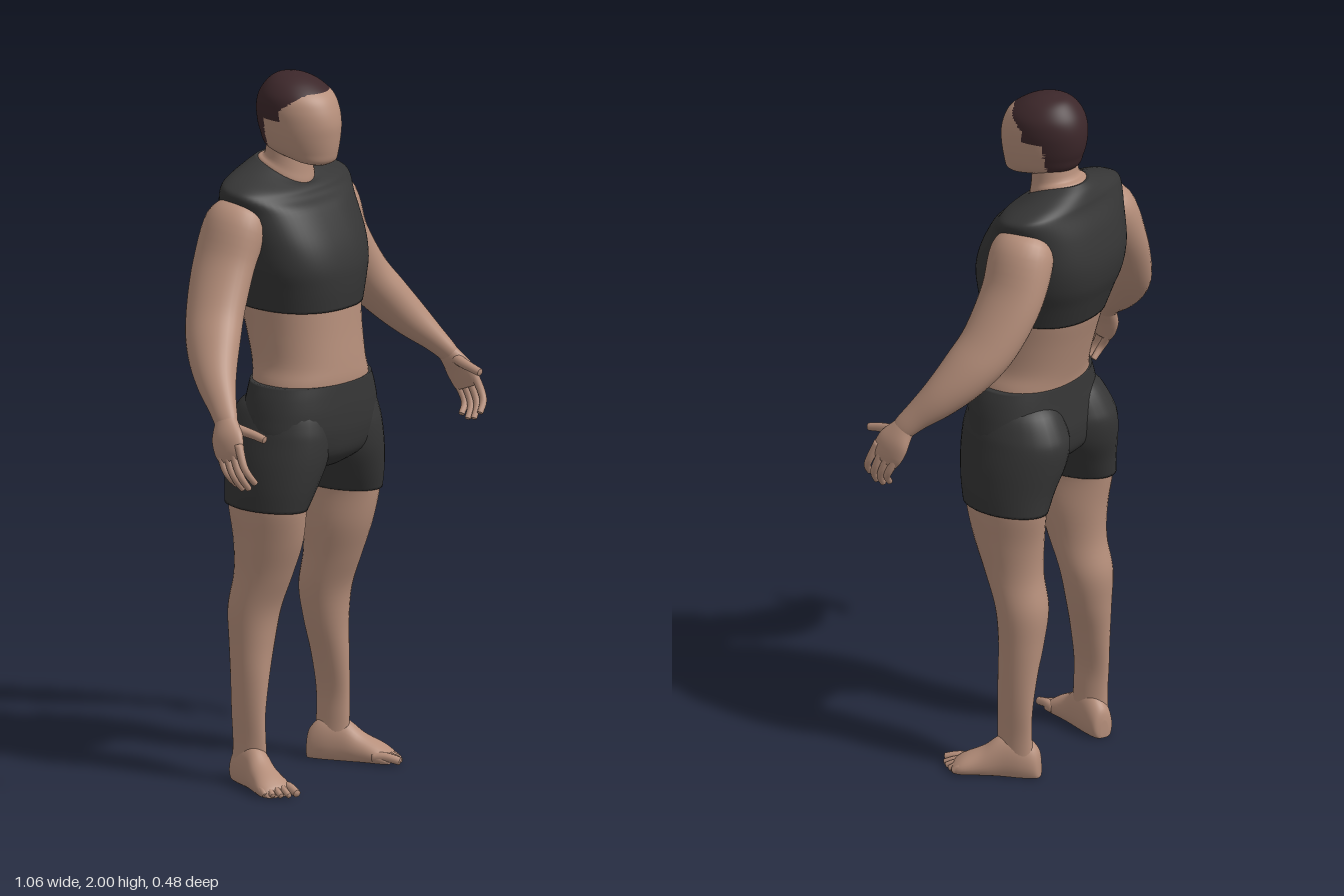
import * as THREE from 'three';

const mat = (name, color) => Object.assign(new THREE.MeshStandardMaterial({ color }), { name });

// Smooth interpolation of one number through four neighbours
const spline = (a, b, c, d, t) => b + 0.5 * t * (c - a + t * (2 * a - 5 * b + 4 * c - d + t * (3 * (b - c) + d - a)));

// Closed skin through cross-sections of equal length; place() turns a section and an angle into a point
function loft(sections, place, mirror = 1, sides = 32, steps = 5) {
  const rows = [], last = sections.length - 1;
  const at = i => sections[Math.min(last, Math.max(0, i))];
  for (let i = 0; i <= last * steps; i++) {
    const k = Math.min(last - 1, Math.floor(i / steps)), t = i / steps - k;
    rows.push(at(k).map((_, p) => spline(at(k - 1)[p], at(k)[p], at(k + 1)[p], at(k + 2)[p], t)));
  }
  const pos = [], index = [];
  rows.forEach((row, i) => {
    const a = rows[Math.max(0, i - 1)], b = rows[Math.min(rows.length - 1, i + 1)];
    const tangent = new THREE.Vector3(b[0] - a[0], b[1] - a[1], b[2] - a[2]).normalize();
    for (let j = 0; j < sides; j++) {
      const angle = j / sides * Math.PI * 2;
      const p = place(row, Math.cos(angle), Math.sin(angle), tangent);
      pos.push(p.x * mirror, p.y, p.z);
    }
  });
  // end caps
  const ends = [0, rows.length - 1].map(r => {
    const c = [0, 0, 0];
    for (let j = 0; j < sides; j++) for (let q = 0; q < 3; q++) c[q] += pos[(r * sides + j) * 3 + q] / sides;
    pos.push(...c);
    return pos.length / 3 - 1;
  });
  for (let j = 0; j < sides; j++) {
    const n = (j + 1) % sides, top = (rows.length - 1) * sides;
    for (let i = 0; i < rows.length - 1; i++) {
      const a = i * sides + j, b = i * sides + n, c = a + sides, d = b + sides;
      index.push(a, c, b, b, c, d);
    }
    index.push(ends[0], j, n, ends[1], top + n, top + j);
  }
  // turn the faces outward
  const v = i => new THREE.Vector3().fromArray(pos, i * 3);
  let volume = 0;
  for (let i = 0; i < index.length; i += 3) volume += v(index[i]).dot(v(index[i + 1]).cross(v(index[i + 2])));
  if (volume < 0) index.reverse();
  const geo = new THREE.BufferGeometry();
  geo.setAttribute('position', new THREE.Float32BufferAttribute(pos, 3));
  geo.setIndex(index);
  geo.computeVertexNormals();
  return geo;
}

// Horizontal section: [y, centre x, half width, front z, back z, front drop, squareness]
const level = ([y, cx, hx, zf, zb, drop = 0, n = 2], c, s) => {
  const soft = v => Math.sign(v) * Math.pow(Math.abs(v), 2 / n);
  return new THREE.Vector3(cx + hx * soft(c), y - drop * ((1 + s) / 2) ** 2, (zf + zb) / 2 + (zf - zb) / 2 * soft(s));
};

// Section square to a path: [x, y, z, half width, half depth]
const along = ([x, y, z, w, d], c, s, tangent) => {
  const ref = Math.abs(tangent.z) > 0.8 ? new THREE.Vector3(0, 1, 0) : new THREE.Vector3(0, 0, 1);
  const wide = new THREE.Vector3().crossVectors(tangent, ref).normalize();
  const deep = new THREE.Vector3().crossVectors(wide, tangent);
  return new THREE.Vector3(x, y, z).addScaledVector(wide, c * w).addScaledVector(deep, s * d);
};

// Foot frame: origin under the ankle, toes turned outward
const turnFoot = p => p.applyAxisAngle(new THREE.Vector3(0, 1, 0), 0.38).add(new THREE.Vector3(0.18, 0, -0.06));
// Foot section with a flat underside: [z, centre x, half width, top y]
const sole = ([z, cx, w, top], c, s) => {
  const y = top * (0.35 + (s > 0 ? 0.65 * s : 0.35 * Math.max(-1, s * 1.6)));
  return turnFoot(new THREE.Vector3(cx + w * c, y, z));
};

// Finger or toe with a rounded tip: points [x, y, z] and radius
const digit = (points, r) => {
  const rows = points.map((p, i) => [...p, r * (1 - 0.1 * i), r * (1 - 0.1 * i)]);
  const [e, f] = points.slice(-2), tip = k => f.map((q, i) => q + (q - e[i]) * k);
  rows.push([...tip(0.12), r * 0.6, r * 0.6], [...tip(0.18), r * 0.15, r * 0.15]);
  return rows;
};

export function createModel() {
  const model = new THREE.Group();
  const skin = mat('skin', 0xb68f7b), cloth = mat('charcoal cloth', 0x353535), hair = mat('dark hair', 0x3c272a);
  const add = (name, geo, material, parent = model) => {
    const mesh = new THREE.Mesh(geo, material);
    mesh.name = name;
    parent.add(mesh);
  };

  // Head, with the hair as a second material above the hairline
  const head = loft([
    [1.752, 0, 0.025, 0.065, 0.01], [1.764, 0, 0.058, 0.086, -0.03], [1.79, 0, 0.08, 0.094, -0.125],
    [1.83, 0, 0.092, 0.099, -0.148], [1.87, 0, 0.098, 0.1, -0.158], [1.91, 0, 0.1, 0.09, -0.158],
    [1.945, 0, 0.093, 0.07, -0.147], [1.975, 0, 0.07, 0.03, -0.125], [1.993, 0, 0.04, -0.01, -0.1],
    [2, 0, 0.008, -0.045, -0.065],
  ], level, 1, 72, 8);
  const hairline = z => z > 0.04 ? 1.957 : z > -0.02 ? 1.912 + (z + 0.02) * 0.75 : z > -0.085 ? 1.88 : 1.79;
  const parts = [[], []], ix = head.index.array, hp = head.attributes.position;
  for (let i = 0; i < ix.length; i += 3) {
    const f = [ix[i], ix[i + 1], ix[i + 2]];
    const y = f.reduce((s, q) => s + hp.getY(q) / 3, 0), z = f.reduce((s, q) => s + hp.getZ(q) / 3, 0);
    parts[y > hairline(z) ? 1 : 0].push(...f);
  }
  head.setIndex(parts.flat());
  head.addGroup(0, parts[0].length, 0);
  head.addGroup(parts[0].length, parts[1].length, 1);
  add('head', head, [skin, hair]);

  add('neck', loft([
    [1.70, 0, 0.085, 0.0, -0.15, 0.03], [1.752, 0, 0.079, 0.004, -0.157, 0.058],
    [1.768, 0, 0.069, 0, -0.132, 0.04], [1.82, 0, 0.066, -0.005, -0.125, 0.02],
  ], level), skin);

  // Torso
  add('waist', loft([
    [1.10, 0, 0.185, 0.145, -0.125, 0, 2.2], [1.15, 0, 0.176, 0.152, -0.13, 0, 2.2], [1.2, 0, 0.162, 0.15, -0.142, 0, 2.2],
    [1.28, 0, 0.16, 0.143, -0.165, 0, 2.2], [1.355, 0, 0.163, 0.138, -0.188, 0, 2.2], [1.4, 0, 0.165, 0.135, -0.195, 0, 2.2],
  ], level, 1, 48), skin);
  add('cropTop', loft([
    [1.355, 0, 0.166, 0.141, -0.192, 0, 2.3], [1.42, 0, 0.18, 0.146, -0.215, 0, 2.4], [1.48, 0, 0.196, 0.143, -0.235, 0, 2.5],
    [1.55, 0, 0.203, 0.12, -0.24, 0, 2.6], [1.63, 0, 0.212, 0.075, -0.223, 0, 2.5], [1.69, 0, 0.232, 0.04, -0.198, 0.03, 2.3],
    [1.715, 0, 0.205, 0.027, -0.19, 0.035, 2.2], [1.74, 0, 0.135, 0.015, -0.178, 0.05, 2], [1.757, 0, 0.08, 0.005, -0.162, 0.065, 2],
  ], level, 1, 64, 6), cloth);

  // Shorts: hips and two legs whose backs form the seat
  const shorts = new THREE.Group();
  shorts.name = 'shorts';
  model.add(shorts);
  add('hips', loft([
    [0.9, 0, 0.1, 0.09, -0.09, 0, 2.2], [0.94, 0, 0.19, 0.142, -0.135, 0, 2.2], [1.0, 0, 0.222, 0.158, -0.145, 0, 2.2],
    [1.06, 0, 0.217, 0.16, -0.14, 0, 2.2], [1.11, 0, 0.205, 0.157, -0.134, 0, 2.2], [1.147, 0, 0.19, 0.154, -0.131, 0, 2.2],
  ], level, 1, 48), cloth, shorts);

  for (const m of [1, -1]) {
    const side = m > 0 ? 'left' : 'right';
    add(side + 'ShortsLeg', loft([
      [0.8, 0.164, 0.083, 0.119, -0.146], [0.86, 0.147, 0.1, 0.135, -0.155], [0.93, 0.125, 0.117, 0.148, -0.172],
      [0.99, 0.115, 0.117, 0.15, -0.178], [1.03, 0.111, 0.112, 0.145, -0.165], [1.08, 0.105, 0.098, 0.13, -0.135],
      [1.11, 0.1, 0.07, 0.1, -0.1],
    ], level, m), cloth, shorts);

    add(side + 'Leg', loft([
      [0.04, 0.18, 0.034, -0.005, -0.115], [0.12, 0.183, 0.03, -0.003, -0.112], [0.2, 0.185, 0.031, -0.004, -0.115],
      [0.3, 0.176, 0.043, -0.002, -0.122], [0.4, 0.163, 0.059, 0.001, -0.132], [0.5, 0.155, 0.071, 0.015, -0.139],
      [0.6, 0.152, 0.071, 0.055, -0.122], [0.7, 0.153, 0.077, 0.093, -0.125], [0.8, 0.16, 0.078, 0.114, -0.139],
      [0.86, 0.15, 0.08, 0.115, -0.14],
    ], level, m), skin);

    // Foot and toes
    const foot = new THREE.Group();
    foot.name = side + 'Foot';
    model.add(foot);
    add('footBody', loft([
      [-0.07, 0, 0.012, 0.05], [-0.06, 0, 0.031, 0.085], [-0.02, 0, 0.04, 0.118], [0.04, 0, 0.041, 0.115],
      [0.09, 0.003, 0.045, 0.078], [0.14, 0.005, 0.052, 0.052], [0.165, 0.003, 0.049, 0.035], [0.175, 0.002, 0.04, 0.025],
    ], sole, m), skin, foot);
    for (let i = 0; i < 5; i++) {
      const x = [-0.034, -0.011, 0.009, 0.028, 0.045][i], end = [0.208, 0.205, 0.196, 0.184, 0.17][i], r = i ? 0.0105 : 0.0145;
      const toe = digit([[x, 0.02, 0.13], [x, 0.022, (0.13 + end) / 2], [x, r, end - 0.003]], r);
      add('toe', loft(toe, (...a) => turnFoot(along(...a)), m, 12, 4), skin, foot);
    }

    // Arm, curving outward and forward to the wrist
    add(side + 'Arm', loft([
      [0.16, 1.655, -0.09, 0.03, 0.05], [0.195, 1.605, -0.092, 0.074, 0.093], [0.25, 1.49, -0.095, 0.066, 0.096],
      [0.318, 1.37, -0.07, 0.064, 0.088], [0.375, 1.29, -0.03, 0.06, 0.078], [0.425, 1.22, 0.02, 0.05, 0.06],
      [0.465, 1.16, 0.075, 0.033, 0.042], [0.485, 1.125, 0.105, 0.025, 0.035], [0.495, 1.1, 0.12, 0.018, 0.028],
    ], along, m), skin);

    // Hand with curled fingers
    const hand = new THREE.Group();
    hand.name = side + 'Hand';
    model.add(hand);
    add('palm', loft([
      [0.475, 1.15, 0.09, 0.018, 0.025], [0.488, 1.12, 0.107, 0.024, 0.036], [0.505, 1.085, 0.125, 0.023, 0.05],
      [0.514, 1.05, 0.14, 0.018, 0.05], [0.517, 1.025, 0.15, 0.011, 0.042],
    ], along, m, 24), skin, hand);
    for (let i = 0; i < 4; i++) {
      const z = 0.112 + i * 0.022, y = 1.03 + i * 0.008, long = [0.075, 0.092, 0.096, 0.085][i];
      add('finger', loft(digit([
        [0.513, y + 0.02, z - 0.006], [0.521, y - long * 0.35, z + 0.016], [0.515, y - long * 0.7, z + 0.03], [0.495, y - long, z + 0.036],
      ], 0.0125), along, m, 12, 4), skin, hand);
    }
    add('thumb', loft(digit([
      [0.49, 1.115, 0.12], [0.48, 1.105, 0.16], [0.474, 1.098, 0.195], [0.472, 1.09, 0.228],
    ], 0.016), along, m, 12, 4), skin, hand);
  }
  return model;
}
